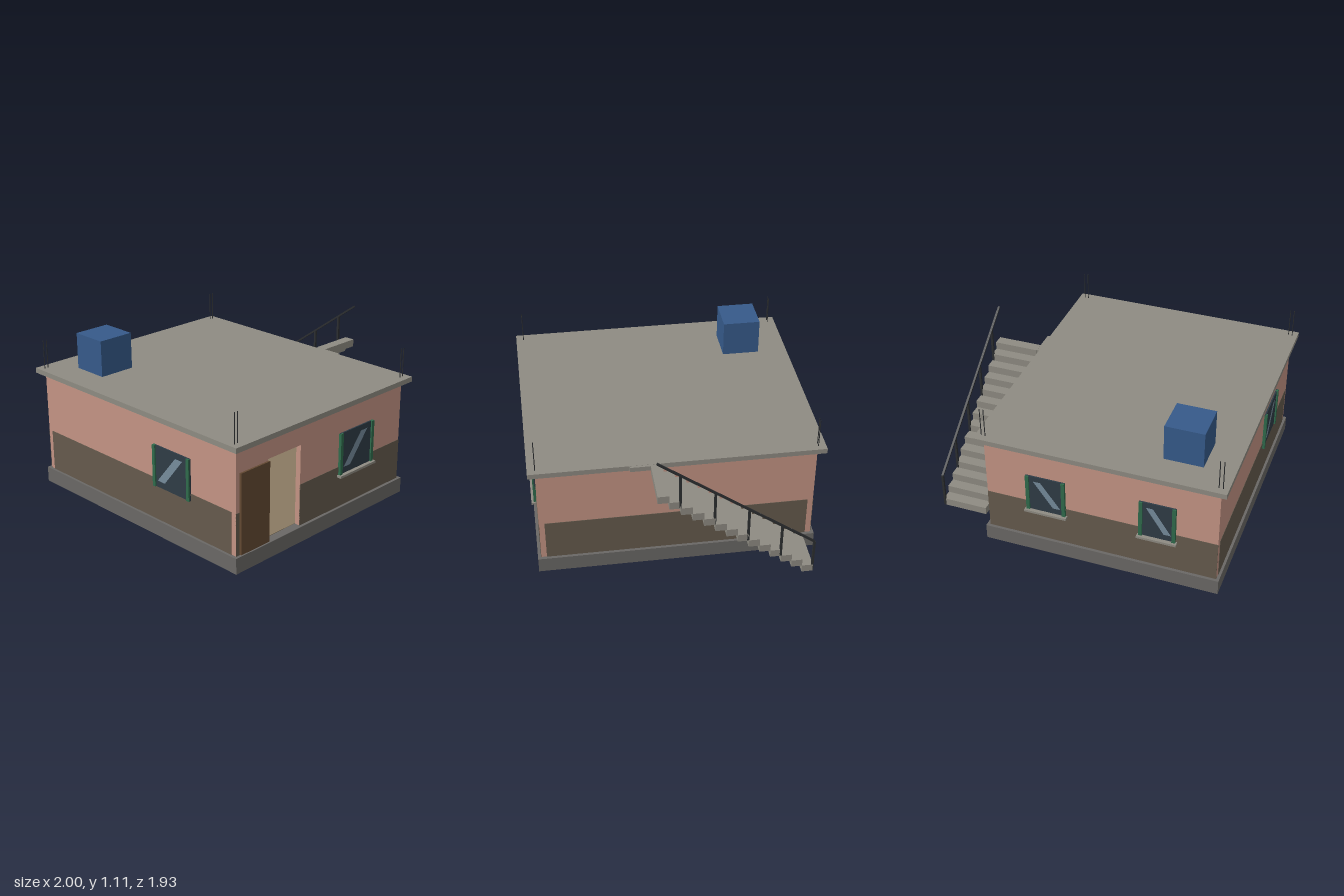
import * as THREE from 'three';

const COLORS = {
  wall: 0xc49484, dado: 0x655a4d, slab: 0x8e8b82, base: 0x6a6865, floor: 0x8a7a62,
  glass: 0x2f3c46, shine: 0x768c9c, green: 0x2f6b4c, door: 0x634932, tank: 0x365a8a, metal: 0x2c2e30,
};
const mats = {};
for (const key in COLORS) mats[key] = new THREE.MeshStandardMaterial({ color: COLORS[key] });

const FLOOR = 0.107, CEILING = 0.815, ROOF = 0.85, DADO = 0.395, THICK = 0.037;
const X0 = -0.955, X1 = 0.617, ZW = 0.917; // outer wall faces
const CX = (X0 + X1) / 2;

// Box given by its minimum and maximum on each axis
function box(parent, name, mat, [x0, x1], [y0, y1], [z0, z1]) {
  const mesh = new THREE.Mesh(new THREE.BoxGeometry(x1 - x0, y1 - y0, z1 - z0), mats[mat]);
  mesh.position.set((x0 + x1) / 2, (y0 + y1) / 2, (z0 + z1) / 2);
  mesh.name = name;
  parent.add(mesh);
  return mesh;
}

function polygon(points) {
  return new THREE.Shape(points.map(([x, y]) => new THREE.Vector2(x, y)));
}

// Window in a wall whose outer face is local z = 0
function addWindow(wall, { u, w, y0, y1, sill = true, flip = false }) {
  const win = new THREE.Group();
  win.name = 'window';
  win.position.x = u;
  wall.add(win);
  const h = w / 2;
  box(win, 'glass', 'glass', [-h, h], [y0, y1], [-THICK + 0.004, 0.01]);
  for (const s of [-1, 1]) {
    const jamb = box(win, 'windowJamb', 'green', [-0.012, 0.012], [y0, y1], [-THICK, 0.02]);
    jamb.position.x = s * (h - 0.012);
  }
  if (sill) box(win, 'windowSill', 'slab', [-h - 0.01, h + 0.01], [y0 - 0.016, y0], [-0.005, 0.036]);

  // Slanted light streak on the pane
  const s = flip ? -1 : 1, yb = y0 + 0.045, yt = y1 - 0.037;
  const pts = [[-0.38, yb], [-0.18, yb], [0.31, yt], [0.12, yt]].map(([x, y]) => [s * x * w, y]);
  if (flip) pts.reverse();
  const streak = new THREE.Mesh(new THREE.ShapeGeometry(polygon(pts)), mats.shine);
  streak.position.z = 0.0125;
  streak.name = 'paneStreak';
  win.add(streak);
}

// Wall facing local +z, with windows, an optional doorway and a dark lower band
function addWall(parent, name, width, windows, doorway) {
  const wall = new THREE.Group();
  wall.name = name;
  parent.add(wall);
  const h = width / 2;
  const outline = [[-h, FLOOR]];
  if (doorway) {
    const { a, b, y1 } = doorway;
    outline.push([a, FLOOR], [a, y1], [b, y1], [b, FLOOR]);
  }
  outline.push([h, FLOOR], [h, CEILING], [-h, CEILING]);
  const shape = polygon(outline);
  for (const { u, w, y0, y1 } of windows) {
    const l = u - w / 2, r = u + w / 2;
    shape.holes.push(polygon([[l, y0], [l, y1], [r, y1], [r, y0]]));
  }
  const panel = new THREE.Mesh(
    new THREE.ExtrudeGeometry(shape, { depth: THICK, bevelEnabled: false }), mats.wall);
  panel.position.z = -THICK;
  panel.name = 'wallPanel';
  wall.add(panel);

  // Lower band, interrupted by the openings
  const gaps = windows.map(({ u, w, y0 }) => ({ a: u - w / 2, b: u + w / 2, top: y0 }));
  if (doorway) gaps.push({ ...doorway, top: FLOOR });
  gaps.sort((p, q) => p.a - q.a);
  let at = -h;
  const band = (a, b, top) => box(wall, 'lowerBand', 'dado', [a, b], [FLOOR, top], [-0.002, 0.003]);
  for (const { a, b, top } of gaps) {
    band(at, a, DADO);
    if (top > FLOOR) band(a, b, top);
    at = b;
  }
  band(at, h, DADO);
  windows.forEach((win) => addWindow(wall, win));
  return wall;
}

function addStairs(parent) {
  const stairs = new THREE.Group();
  stairs.name = 'stairs';
  parent.add(stairs);
  const n = 14, zStart = -0.84, run = 1.025 / n, rise = (ROOF - FLOOR) / n;
  for (let i = 0; i < n; i++) {
    const z = zStart + i * run, y = FLOOR + i * rise;
    box(stairs, 'step', 'slab', [0.687, 1], [y, y + rise], [z, z + run]);
  }
  box(stairs, 'landing', 'slab', [0.6, 0.687], [CEILING + 0.001, ROOF - 0.001], [0.118, 0.318]);

  // Railing: upright posts and one sloping handrail
  for (let i = 0; i < 5; i++) {
    const z = -0.837 + i * 0.22, y = 0.11 + i * 0.159;
    box(stairs, 'railPost', 'metal', [0.985, 1], [y, y + 0.247], [z - 0.0075, z + 0.0075]);
  }
  const dz = 1.025, dy = 0.745;
  const rail = box(stairs, 'handrail', 'metal', [0.985, 1], [-0.006, 0.006],
    [-Math.hypot(dz, dy) / 2, Math.hypot(dz, dy) / 2]);
  rail.position.set(0.9925, 0.73, -0.325);
  rail.rotation.x = -Math.atan2(dy, dz);
}

export function createModel() {
  const model = new THREE.Group();
  model.name = 'house';

  // Foundation, floor and roof slab
  box(model, 'foundation', 'base', [-0.975, 0.64], [0, FLOOR], [-0.94, 0.94]);
  box(model, 'floor', 'floor', [X0 + THICK, X1 - THICK], [FLOOR - 0.01, FLOOR + 0.003], [-ZW + THICK, ZW - THICK]);
  box(model, 'roofSlab', 'slab', [-1, 0.67], [CEILING, ROOF], [-0.967, 0.965]);

  // Walls: front and back span the full width, sides fit between them
  const sideLength = 2 * (ZW - THICK);
  const front = addWall(model, 'frontWall', X1 - X0,
    [{ u: 0.151 - CX, w: 0.335, y0: 0.34, y1: 0.63 }],
    { a: -0.68 - CX, b: -0.385 - CX, y1: 0.665 });
  front.position.set(CX, 0, ZW);

  const back = addWall(model, 'backWall', X1 - X0, [
    { u: CX - 0.2, w: 0.27, y0: 0.34, y1: 0.61, flip: true },
    { u: CX + 0.557, w: 0.245, y0: 0.34, y1: 0.61, flip: true },
  ]);
  back.position.set(CX, 0, -ZW);
  back.rotation.y = Math.PI;

  const stairSide = addWall(model, 'stairSideWall', sideLength, []);
  stairSide.position.x = X1;
  stairSide.rotation.y = Math.PI / 2;

  const doorSide = addWall(model, 'doorSideWall', sideLength,
    [{ u: 0.36, w: 0.335, y0: 0.345, y1: 0.63, sill: false }]);
  doorSide.position.x = X0;
  doorSide.rotation.y = -Math.PI / 2;

  // Door leaf folded open against the front wall
  box(model, 'door', 'door', [-0.925, -0.677], [FLOOR + 0.003, 0.655], [ZW + 0.003, ZW + 0.016]);

  // Water tank and bare reinforcing rods on the roof
  box(model, 'waterTank', 'tank', [-0.795, -0.535], [ROOF, 1.1], [-0.76, -0.503]);
  for (const x of [-0.962, -0.936, 0.604, 0.63]) {
    for (const z of [-0.915, 0.913]) {
      const rod = new THREE.Mesh(new THREE.CylinderGeometry(0.003, 0.003, 0.2, 8), mats.metal);
      rod.position.set(x, ROOF + 0.1, z);
      rod.name = 'roofRod';
      model.add(rod);
    }
  }

  addStairs(model);
  return model;
}
